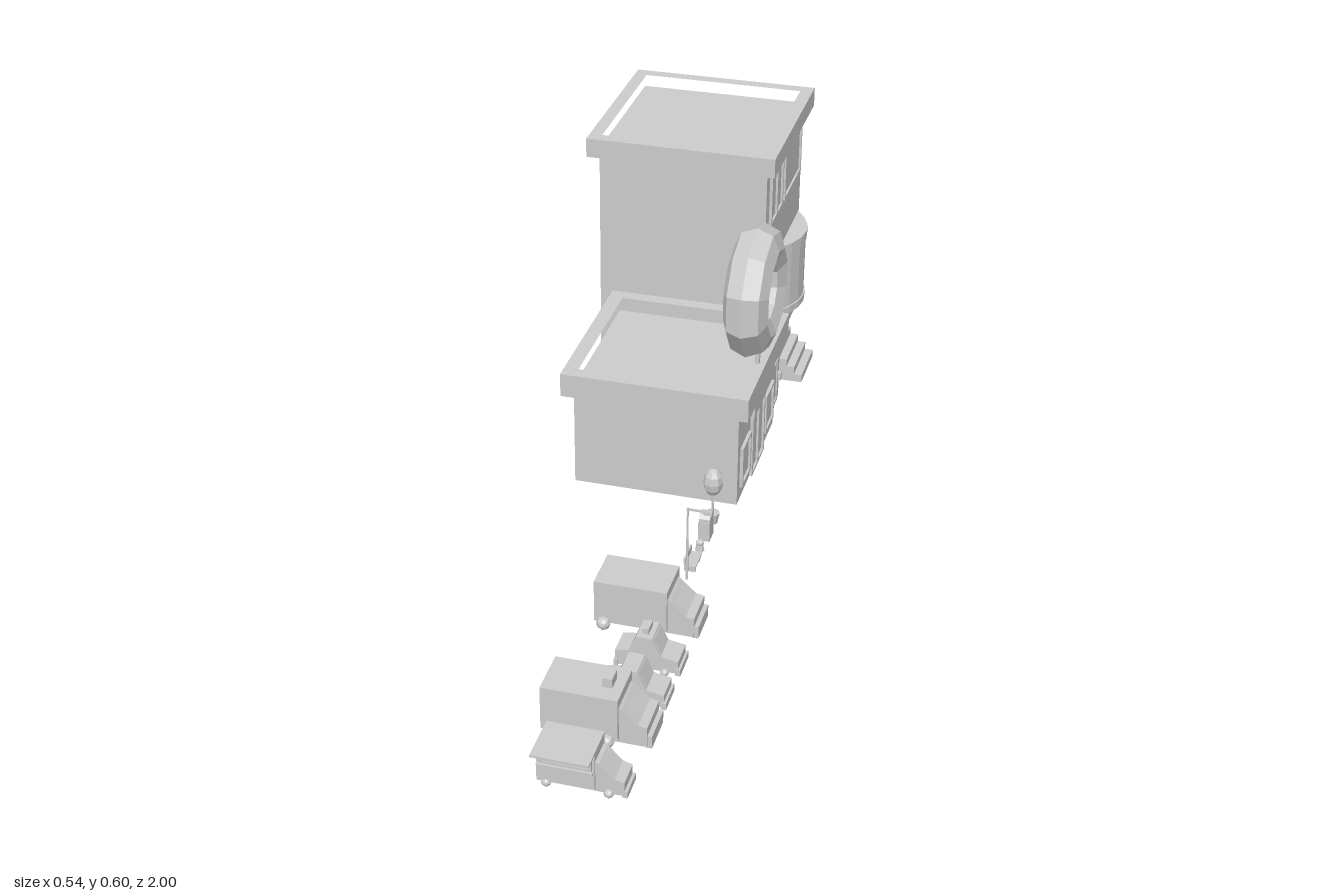
import * as THREE from 'three';

const grey = new THREE.MeshStandardMaterial({ color: 0xcccccc, flatShading: true });

function add(parent, name, geometry) {
  const mesh = new THREE.Mesh(geometry, grey);
  mesh.name = name;
  parent.add(mesh);
  return mesh;
}

// Box from its limits on each axis
function box(parent, name, x0, x1, y0, y1, z0, z1) {
  const g = new THREE.BoxGeometry(x1 - x0, y1 - y0, z1 - z0);
  return add(parent, name, g.translate((x0 + x1) / 2, (y0 + y1) / 2, (z0 + z1) / 2));
}

function toShape(points) {
  return new THREE.Shape(points.map(p => new THREE.Vector2(...p)));
}

function rectPoints(x0, x1, y0, y1) {
  return [[x0, y0], [x1, y0], [x1, y1], [x0, y1]];
}

// Side outline (x, y) extruded from z0 to z1
function profile(parent, name, points, z0, z1) {
  const g = new THREE.ExtrudeGeometry(toShape(points), { depth: z1 - z0, bevelEnabled: false });
  return add(parent, name, g.translate(0, 0, z0));
}

// Floor outline (x, z) with optional hole, extruded from y0 to y1
function footprint(parent, name, points, y0, y1, hole) {
  const flip = list => list.map(([x, z]) => [x, -z]);
  const shape = toShape(flip(points));
  if (hole) shape.holes.push(new THREE.Path(flip(hole).map(p => new THREE.Vector2(...p))));
  const g = new THREE.ExtrudeGeometry(shape, { depth: y1 - y0, bevelEnabled: false });
  return add(parent, name, g.rotateX(-Math.PI / 2).translate(0, y0, 0));
}

// Framed window or door on a wall; angle turns its outside from +z
function opening(parent, name, x, y, z, angle, w, h, panes = 1, depth = 0.007) {
  const group = new THREE.Group();
  group.name = name;
  const bar = 0.007;
  const shape = toShape(rectPoints(-w / 2, w / 2, -h / 2, h / 2));
  const step = (w - bar) / panes;
  for (let i = 0; i < panes; i++) {
    const x0 = -w / 2 + bar + i * step;
    shape.holes.push(new THREE.Path(rectPoints(x0, x0 + step - bar, -h / 2 + bar, h / 2 - bar)
      .map(p => new THREE.Vector2(...p))));
  }
  add(group, 'frame', new THREE.ExtrudeGeometry(shape, { depth, bevelEnabled: false }));
  box(group, 'pane', -w / 2 + 0.002, w / 2 - 0.002, -h / 2 + 0.002, h / 2 - 0.002, -0.002, 0.002);
  group.position.set(x, y, z);
  group.rotation.y = angle;
  parent.add(group);
}

function house() {
  const g = new THREE.Group();
  g.name = 'townHouse';
  box(g, 'walls', -0.245, 0.155, 0, 0.567, -0.975, -0.577);
  footprint(g, 'parapet', rectPoints(-0.27, 0.177, -1, -0.553), 0.552, 0.598,
    rectPoints(-0.24, 0.147, -0.97, -0.583));
  // Street side
  const street = Math.PI / 2;
  opening(g, 'upperWindow', 0.155, 0.47, -0.672, street, 0.125, 0.135, 2);
  opening(g, 'wideWindow', 0.155, 0.47, -0.85, street, 0.185, 0.135);
  opening(g, 'frontDoor', 0.155, 0.188, -0.672, street, 0.128, 0.177);
  // Rear and end windows
  for (const y of [0.2, 0.47]) opening(g, 'endWindow', 0.045, y, -0.975, Math.PI, 0.13, 0.14, 2);
  opening(g, 'rearWindow', -0.245, 0.47, -0.74, -street, 0.13, 0.14, 2, 0.009);
  // Steps up to the door
  for (let i = 0; i < 5; i++) {
    box(g, 'step', 0.155, 0.25 - i * 0.019, i * 0.019, (i + 1) * 0.019, -0.738, -0.606);
  }
  // Bow window
  const bow = s => Array.from({ length: 7 }, (_, i) => {
    const a = -1 + i / 3;
    return [0.154 + 0.045 * s * (1 - a * a), -0.858 + a * 0.112 * s];
  });
  footprint(g, 'bowSill', bow(1), 0.088, 0.106);
  footprint(g, 'bowGlass', bow(0.93), 0.106, 0.256);
  footprint(g, 'bowHead', bow(1), 0.256, 0.28);
  for (const z of [-0.965, -0.757]) box(g, 'bowPost', 0.15, 0.164, 0.1, 0.27, z - 0.006, z + 0.006);
  return g;
}

function shop() {
  const g = new THREE.Group();
  g.name = 'ringShop';
  box(g, 'walls', -0.137, 0.23, 0.02, 0.262, -0.37, -0.01);
  footprint(g, 'parapet', rectPoints(-0.16, 0.255, -0.39, 0.014), 0.246, 0.3,
    rectPoints(-0.128, 0.222, -0.36, -0.018));
  const street = Math.PI / 2;
  opening(g, 'doubleDoor', 0.23, 0.1, -0.188, street, 0.12, 0.156, 2);
  for (const z of [-0.073, -0.305]) opening(g, 'shopWindow', 0.23, 0.1, z, street, 0.08, 0.098);
  box(g, 'signBoard', 0.228, 0.24, 0.176, 0.226, -0.245, -0.125);
  // Rooftop ring on two posts
  const ring = new THREE.TorusGeometry(0.098, 0.049, 8, 10);
  add(g, 'roofRing', ring.rotateZ(Math.PI / 2).rotateY(Math.PI / 2).translate(0.219, 0.456, -0.187));
  for (const z of [-0.15, -0.225]) box(g, 'ringPost', 0.231, 0.241, 0.26, 0.34, z - 0.005, z + 0.005);
  return g;
}

function kiosk() {
  const g = new THREE.Group();
  g.name = 'kiosk';
  box(g, 'cabinet', 0.155, 0.212, 0.01, 0.143, -0.515, -0.397);
  opening(g, 'kioskDoor', 0.212, 0.075, -0.442, Math.PI / 2, 0.075, 0.11, 1, 0.005);
  box(g, 'handle', 0.21, 0.222, 0.065, 0.085, -0.5, -0.488);
  return g;
}

function streetItems() {
  const g = new THREE.Group();
  g.name = 'streetItems';
  const x = 0.192;
  const cyl = (name, r1, r2, y0, y1, z, n = 8) =>
    add(g, name, new THREE.CylinderGeometry(r1, r2, y1 - y0, n).translate(x, (y0 + y1) / 2, z));
  const ball = (name, rx, ry, y, z) =>
    add(g, name, new THREE.SphereGeometry(1, 8, 6).scale(rx, ry, rx).translate(x, y, z));
  // Potted tree
  cyl('treePot', 0.016, 0.011, 0.01, 0.035, 0.055);
  cyl('treeTrunk', 0.003, 0.003, 0.03, 0.09, 0.055, 6);
  ball('treeCrown', 0.022, 0.033, 0.113, 0.055);
  // Litter bin
  box(g, 'bin', 0.179, 0.204, 0.01, 0.055, 0.095, 0.131);
  const lid = new THREE.CylinderGeometry(0.017, 0.017, 0.024, 10).rotateX(Math.PI / 2).rotateY(Math.PI / 2);
  add(g, 'binLid', lid.translate(x, 0.058, 0.113));
  // Hydrant
  cyl('hydrant', 0.007, 0.01, 0.01, 0.028, 0.165);
  ball('hydrantCap', 0.009, 0.007, 0.029, 0.165);
  // Bench
  box(g, 'benchSeat', 0.181, 0.205, 0.024, 0.028, 0.198, 0.254);
  box(g, 'benchBack', 0.179, 0.183, 0.031, 0.044, 0.198, 0.254);
  for (const z of [0.207, 0.245]) {
    box(g, 'benchLeg', 0.183, 0.203, 0.01, 0.025, z - 0.002, z + 0.002);
    box(g, 'benchPost', 0.179, 0.183, 0.01, 0.04, z - 0.002, z + 0.002);
  }
  // Street lamp
  cyl('lampPole', 0.002, 0.003, 0.01, 0.186, 0.275, 6);
  box(g, 'lampArm', 0.19, 0.238, 0.181, 0.185, 0.273, 0.277);
  box(g, 'lampHead', 0.226, 0.243, 0.177, 0.184, 0.271, 0.279);
  return g;
}

function wheels(g, xs, z0, z1, r) {
  for (const x of xs) for (const z of [z0, z1]) {
    add(g, 'wheel', new THREE.SphereGeometry(r, 8, 6).rotateX(Math.PI / 2).translate(x, 0.006 + r, z));
  }
}

function truck(name, z) {
  const g = new THREE.Group();
  g.name = name;
  const w = 0.049;
  box(g, 'cargoBox', 0.053, 0.203, 0.022, 0.116, z - w, z + w);
  profile(g, 'cab', [[0.2, 0.016], [0.257, 0.016], [0.257, 0.059], [0.24, 0.062], [0.207, 0.093], [0.2, 0.098]],
    z - 0.042, z + 0.042);
  box(g, 'bumper', 0.253, 0.266, 0.013, 0.04, z - 0.04, z + 0.04);
  // Windscreen lying on the sloping cab front
  const glass = new THREE.BoxGeometry(0.034, 0.003, 0.07).rotateZ(-0.755);
  add(g, 'windscreen', glass.translate(0.2245, 0.0785, z));
  wheels(g, [0.073, 0.182], z - 0.05, z + 0.05, 0.015);
  return g;
}

function car(name, z, roofSign) {
  const g = new THREE.Group();
  g.name = name;
  profile(g, 'body', [[0.13, 0.016], [0.257, 0.016], [0.257, 0.044], [0.222, 0.05], [0.204, 0.088],
    [0.172, 0.088], [0.158, 0.053], [0.13, 0.048]], z - 0.029, z + 0.029);
  box(g, 'frontBumper', 0.252, 0.262, 0.013, 0.028, z - 0.032, z + 0.032);
  box(g, 'rearBumper', 0.128, 0.136, 0.013, 0.028, z - 0.032, z + 0.032);
  add(g, 'windscreen', new THREE.BoxGeometry(0.034, 0.002, 0.048).rotateZ(-1.13).translate(0.2135, 0.0695, z));
  if (roofSign) box(g, 'roofSign', 0.182, 0.194, 0.086, 0.1, z - 0.015, z + 0.015);
  wheels(g, [0.155, 0.23], z - 0.029, z + 0.029, 0.009);
  return g;
}

function foodVan() {
  const g = new THREE.Group();
  g.name = 'foodVan';
  box(g, 'vanBody', 0.09, 0.2, 0.02, 0.1, 0.902, 0.965);
  profile(g, 'cab', [[0.195, 0.016], [0.254, 0.016], [0.254, 0.045], [0.236, 0.05], [0.207, 0.08], [0.195, 0.084]],
    0.906, 0.961);
  box(g, 'bumper', 0.25, 0.26, 0.012, 0.026, 0.906, 0.961);
  box(g, 'awning', 0.09, 0.2, 0.1, 0.104, 0.9, 1);
  opening(g, 'servingHatch', 0.145, 0.08, 0.965, 0, 0.1, 0.036, 1, 0.004);
  box(g, 'counter', 0.092, 0.198, 0.06, 0.064, 0.963, 0.974);
  wheels(g, [0.107, 0.225], 0.907, 0.96, 0.01);
  return g;
}

export function createModel() {
  const model = new THREE.Group();
  model.name = 'townSet';
  const van = truck('truckWithRoofUnit', 0.778);
  box(van, 'roofUnit', 0.163, 0.183, 0.114, 0.136, 0.762, 0.793);
  model.add(house(), shop(), kiosk(), streetItems(), truck('truck', 0.43),
    car('signedCar', 0.565, true), car('plainCar', 0.672, false), van, foodVan());
  return model;
}
